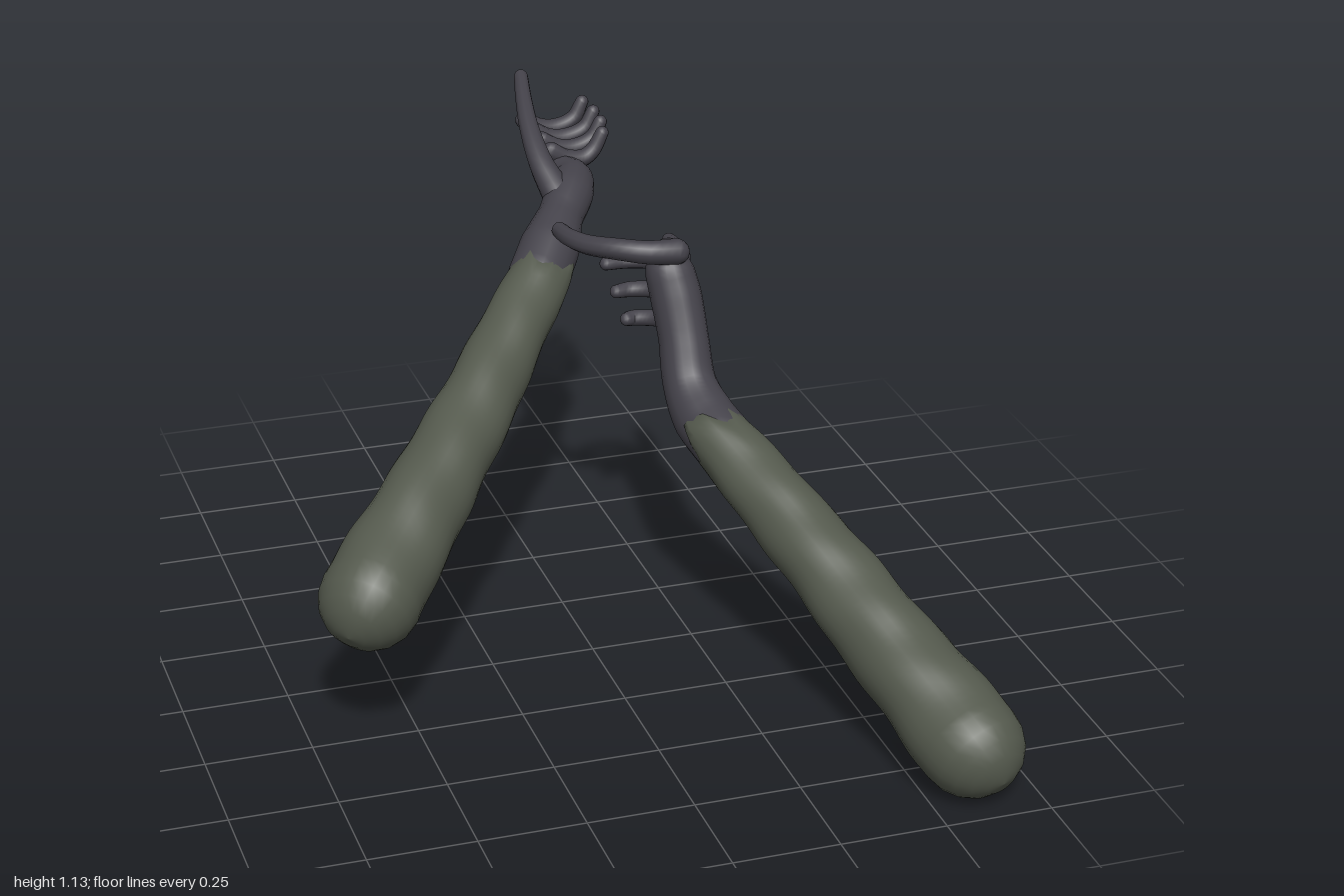
import * as THREE from 'three';

const sleeveMat = new THREE.MeshStandardMaterial({ color: 0x54594d });
sleeveMat.name = 'olive sleeve';
const gloveMat = new THREE.MeshStandardMaterial({ color: 0x44424a });
gloveMat.name = 'charcoal glove';

const V = (x, y, z) => new THREE.Vector3(x, y, z);

// Round-ended limb through stations [x, y, z, radius]; warp(t, angle) gives { r: scale, slide: along axis }
function limb(name, stations, mat, sides = 12, steps = 24, warp = null) {
  const curve = new THREE.CatmullRomCurve3(stations.map(s => V(s[0], s[1], s[2])), false, 'centripetal');
  const frames = curve.computeFrenetFrames(steps, false);
  const radiusAt = u => {
    const f = u * (stations.length - 1), i = Math.min(Math.floor(f), stations.length - 2);
    return THREE.MathUtils.lerp(stations[i][3], stations[i + 1][3], f - i);
  };
  const rings = [];
  const capSteps = 5;
  for (let k = 0; k < capSteps; k++) rings.push({ i: 0, a: -Math.PI / 2 * (1 - k / capSteps) });
  for (let i = 0; i <= steps; i++) rings.push({ i, a: 0 });
  for (let k = 1; k <= capSteps; k++) rings.push({ i: steps, a: Math.PI / 2 * k / capSteps });

  const pos = [], idx = [];
  rings.forEach(({ i, a }, row) => {
    const t = i / steps, c = curve.getPointAt(t), r = radiusAt(curve.getUtoTmapping(t));
    const tan = frames.tangents[i], n = frames.normals[i], b = frames.binormals[i];
    for (let j = 0; j < sides; j++) {
      const ang = j / sides * Math.PI * 2;
      const w = warp ? warp(t, ang) : { r: 1, slide: 0 };
      const rr = Math.max(r * Math.cos(a) * w.r, 1e-4);
      const p = c.clone().addScaledVector(tan, r * Math.sin(a) + w.slide)
        .addScaledVector(n, rr * Math.cos(ang)).addScaledVector(b, rr * Math.sin(ang));
      pos.push(p.x, p.y, p.z);
      if (row > 0) {
        const j2 = (j + 1) % sides, o = (row - 1) * sides, q = row * sides;
        idx.push(o + j, o + j2, q + j, o + j2, q + j2, q + j);
      }
    }
  });
  const geo = new THREE.BufferGeometry();
  geo.setAttribute('position', new THREE.Float32BufferAttribute(pos, 3));
  geo.setIndex(idx);
  geo.computeVertexNormals();
  const mesh = new THREE.Mesh(geo, mat);
  mesh.name = name;
  return mesh;
}

// Soft cloth folds, with an uneven hem close to the cuff
const cloth = (t, a) => ({
  r: 1 + 0.022 * Math.sin(t * 31 + 2 * a) + 0.015 * Math.sin(t * 17 - 3 * a),
  slide: Math.max(0, (t - 0.85) / 0.15) * 0.022 * (Math.sin(3 * a) + 0.5 * Math.sin(7 * a)),
});

const sleeve = (name, stations) => limb(name, stations, sleeveMat, 28, 44, cloth);
const finger = (name, stations) => limb(name, stations, gloveMat, 10, 16);

function rightArm() {
  const g = new THREE.Group();
  g.name = 'rightArm';
  g.add(sleeve('rightSleeve', [
    [-0.61, 0.387, 0.283, 0.12], [-0.45, 0.5, 0.11, 0.105],
    [-0.3, 0.595, -0.06, 0.095], [-0.14, 0.71, -0.25, 0.084], [-0.01, 0.81, -0.4, 0.074],
  ]));
  g.add(limb('rightHand', [
    [-0.01, 0.81, -0.405, 0.075], [0.04, 0.855, -0.475, 0.074], [0.09, 0.9, -0.55, 0.056],
    [0.135, 0.93, -0.62, 0.06], [0.16, 0.945, -0.68, 0.052], [0.15, 0.955, -0.725, 0.037],
  ], gloveMat, 18, 24));
  g.add(finger('rightThumb', [
    [0.1, 0.94, -0.6, 0.04], [0.08, 0.995, -0.67, 0.031], [0.08, 1.05, -0.77, 0.025],
    [0.095, 1.09, -0.87, 0.021], [0.117, 1.118, -0.97, 0.018],
  ]));
  // Row of curled fingers reaching across the palm
  const tips = [0.255, 0.275, 0.28, 0.275];
  tips.forEach((x, i) => {
    const z = -0.74 - 0.077 * i;
    g.add(finger('rightFinger' + (i + 1), [
      [0.125, 1.0, z, 0.023], [0.165, 0.977, z, 0.023], [0.21, 0.972, z - 0.003, 0.022],
      [x - 0.018, 0.99, z - 0.006, 0.02], [x + 0.005, 1.03, z - 0.008, 0.017],
    ]));
  });
  return g;
}

function leftArm() {
  const g = new THREE.Group();
  g.name = 'leftArm';
  g.add(sleeve('leftSleeve', [
    [0.605, 0.125, 0.875, 0.122], [0.525, 0.235, 0.64, 0.108],
    [0.45, 0.345, 0.42, 0.097], [0.37, 0.455, 0.2, 0.086], [0.305, 0.535, 0.035, 0.077],
  ]));
  g.add(limb('leftHand', [
    [0.31, 0.53, 0.04, 0.076], [0.29, 0.562, -0.045, 0.075], [0.278, 0.62, -0.115, 0.064],
    [0.278, 0.72, -0.165, 0.06], [0.272, 0.81, -0.205, 0.062], [0.262, 0.875, -0.23, 0.058],
    [0.262, 0.9, -0.235, 0.045],
  ], gloveMat, 18, 28));
  g.add(finger('leftThumb', [
    [0.27, 0.925, -0.2, 0.032], [0.2, 0.932, -0.2, 0.028], [0.135, 0.935, -0.235, 0.026],
    [0.08, 0.928, -0.3, 0.024], [0.055, 0.925, -0.365, 0.022], [0.05, 0.922, -0.42, 0.02],
  ]));
  g.add(finger('leftIndexFinger', [
    [0.285, 0.88, -0.235, 0.032], [0.312, 0.872, -0.295, 0.025],
    [0.325, 0.865, -0.36, 0.022], [0.328, 0.86, -0.425, 0.018],
  ]));
  // Three hooked fingers stacked below the index finger
  for (let i = 0; i < 3; i++) {
    const y = 0.84 - 0.068 * i, s = 0.018 * i;
    g.add(finger('leftHookedFinger' + (i + 1), [
      [0.275, y + 0.015, -0.215, 0.03], [0.285, y + 0.008, -0.3 + s, 0.023],
      [0.262, y, -0.36 + s, 0.021], [0.21, y - 0.004, -0.388 + s, 0.02],
      [0.155 + 0.02 * i, y - 0.002, -0.38 + s, 0.017],
    ]));
  }
  return g;
}

export function createModel() {
  const model = new THREE.Group();
  model.name = 'pairOfArms';
  model.add(rightArm(), leftArm());
  return model;
}
